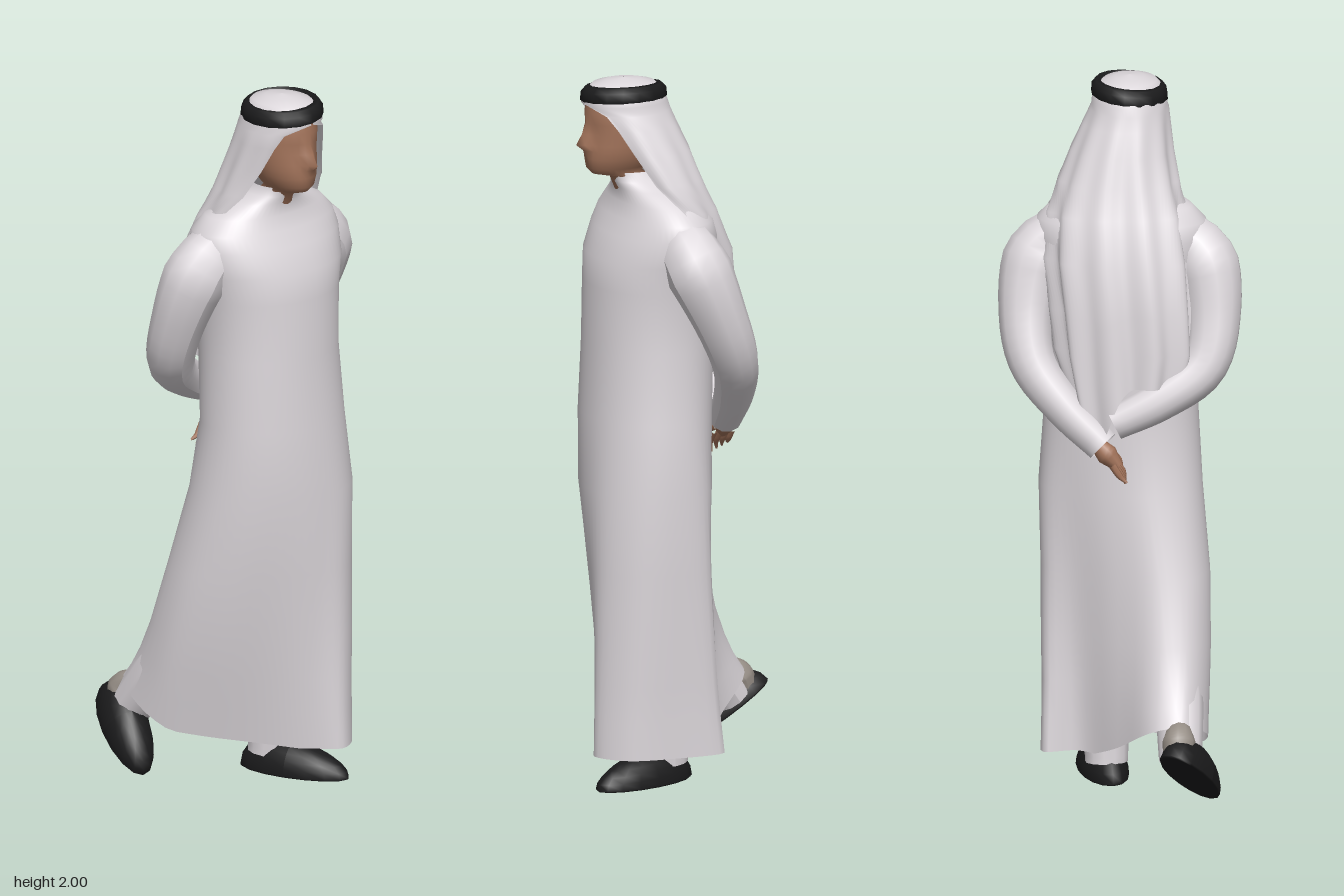
import * as THREE from 'three';
import { mergeVertices } from 'three/addons/utils/BufferGeometryUtils.js';

const mat = (name, color, side = THREE.FrontSide) => {
  const m = new THREE.MeshStandardMaterial({ color, side });
  m.name = name;
  return m;
};

// Skin stretched over rings [y, cx, cz, rx, rz, open], listed bottom to top.
// open = half angle left uncovered at the front; fold ripples the radius,
// warp moves a point in plan and tilt shifts its height.
function loft(rings, { n = 32, power = 1, fold = () => 0, tilt = () => 0, warp = (x, z) => [x, z] } = {}) {
  const pos = [], idx = [];
  const sp = (v) => Math.sign(v) * Math.abs(v) ** power;
  rings.forEach(([y, cx, cz, rx, rz, open = 0], i) => {
    const t = i / (rings.length - 1);
    for (let j = 0; j <= n; j++) {
      const a = open + (j % n === 0 && open === 0 ? 0 : (j / n) * (2 * Math.PI - 2 * open));
      const k = 1 + fold(a, t);
      const [x, z] = warp(cx + sp(Math.sin(a)) * rx * k, cz + sp(Math.cos(a)) * rz * k, y, a);
      pos.push(x, y + tilt(x, z, t), z);
      if (i < rings.length - 1 && j < n) {
        const p = i * (n + 1) + j, q = p + n + 1;
        idx.push(p, p + 1, q, p + 1, q + 1, q);
      }
    }
  });
  let g = new THREE.BufferGeometry();
  g.setAttribute('position', new THREE.Float32BufferAttribute(pos, 3));
  g.setIndex(idx);
  g = mergeVertices(g, 1e-5);
  g.computeVertexNormals();
  return g;
}

// Tube along a smooth path whose radius follows a list
function sweep(points, radii, segs = 20, n = 12) {
  const curve = new THREE.CatmullRomCurve3(points.map((p) => new THREE.Vector3(...p)));
  const g = new THREE.TubeGeometry(curve, segs, 1, n);
  const p = g.attributes.position, v = new THREE.Vector3();
  for (let i = 0; i <= segs; i++) {
    const c = curve.getPointAt(i / segs), f = (i / segs) * (radii.length - 1);
    const k = Math.min(Math.floor(f), radii.length - 2);
    const r = THREE.MathUtils.lerp(radii[k], radii[k + 1], f - k);
    for (let j = 0; j <= n; j++) {
      const m = i * (n + 1) + j;
      v.fromBufferAttribute(p, m).sub(c).multiplyScalar(r).add(c);
      p.setXYZ(m, v.x, v.y, v.z);
    }
  }
  g.computeVertexNormals();
  return g;
}

// Shoe with flat sole, toe towards +z
function shoeGeometry(half) {
  const g = new THREE.SphereGeometry(1, 16, 12), p = g.attributes.position;
  for (let i = 0; i < p.count; i++) {
    const x = p.getX(i), y = p.getY(i), z = p.getZ(i);
    const height = THREE.MathUtils.lerp(0.105, 0.065, (z + 1) / 2);
    p.setXYZ(i, x * (0.068 - 0.004 * z), Math.max(y, -0.05) * height + 0.005, z * half);
  }
  g.computeVertexNormals();
  return g;
}

export function createModel() {
  const root = new THREE.Group();
  root.name = 'robedMan';
  const cloth = mat('white cloth', 0xdcd7db, THREE.DoubleSide);
  const skin = mat('skin', 0xa2735a);
  const black = mat('black leather', 0x1b1b1c);
  const sock = mat('taupe sock', 0x968e86, THREE.DoubleSide);
  const add = (name, geometry, material, parent = root) => {
    const m = new THREE.Mesh(geometry, material);
    m.name = name;
    parent.add(m);
    return m;
  };

  // Hem outline in plan, stretched diagonally from the front foot to the trailing foot
  const hem = new THREE.CatmullRomCurve3([
    [0.02, 0.265], [0.09, 0.33], [0.18, 0.27], [0.21, 0.14], [0.205, -0.015], [0.11, 0.01],
    [-0.01, -0.1], [-0.13, -0.235], [-0.215, -0.235], [-0.262, -0.09], [-0.19, 0.05], [-0.08, 0.16],
  ].map(([x, z]) => new THREE.Vector3(x, 0, z)), true);

  // Long robe: an oval body that turns into the hem outline below the waist
  add('robe', loft([
    [0.1, -0.01, 0.16, 0.225, 0.17], [0.2, -0.015, 0.16, 0.235, 0.17], [0.3, -0.015, 0.158, 0.24, 0.172],
    [0.42, -0.01, 0.155, 0.245, 0.175], [0.62, -0.005, 0.15, 0.24, 0.18],
    [0.85, 0.01, 0.145, 0.228, 0.185], [1.05, 0.005, 0.135, 0.215, 0.175],
    [1.25, 0, 0.125, 0.205, 0.175], [1.42, 0, 0.12, 0.213, 0.175],
    [1.5, 0, 0.114, 0.235, 0.172], [1.57, 0, 0.104, 0.245, 0.15], [1.615, 0, 0.1, 0.235, 0.132],
    [1.655, 0, 0.105, 0.195, 0.11], [1.69, -0.005, 0.125, 0.125, 0.09],
    [1.71, -0.01, 0.148, 0.07, 0.077], [1.738, -0.012, 0.163, 0.058, 0.069],
  ], {
    n: 60, power: 0.95,
    warp: (x, z, y, a) => {
      const w = THREE.MathUtils.clamp((1 - y) / 0.9, 0, 1) ** 1.12;
      const h = hem.getPoint(a / (2 * Math.PI));
      return [THREE.MathUtils.lerp(x, h.x, w), THREE.MathUtils.lerp(z, h.z, w)];
    },
    tilt: (x, z, t) => (0.5 * Math.max(0, -z - 0.02) + 0.18 * Math.max(0, -x)) * Math.max(0, 1 - t * 4),
  }), cloth);

  // Sleeves, both arms folded behind the back
  add('leftSleeve', sweep([
    [0.13, 1.585, 0.1], [0.222, 1.52, 0.09], [0.257, 1.38, 0.035],
    [0.236, 1.23, -0.03], [0.14, 1.11, -0.075], [0.03, 1.01, -0.1],
  ], [0.07, 0.094, 0.077, 0.066, 0.056, 0.048], 24, 12), cloth);
  add('rightSleeve', sweep([
    [-0.13, 1.585, 0.1], [-0.222, 1.52, 0.09], [-0.262, 1.36, 0.04],
    [-0.24, 1.225, -0.015], [-0.13, 1.14, -0.07], [0.0, 1.075, -0.1],
  ], [0.07, 0.094, 0.077, 0.066, 0.056, 0.046], 24, 12), cloth);

  // Hands
  const hands = new THREE.Group();
  hands.name = 'hands';
  root.add(hands);
  add('leftPalm', sweep([[0.05, 1.02, -0.1], [0.015, 0.985, -0.105], [-0.015, 0.955, -0.11]],
    [0.02, 0.03, 0.015], 8, 10), skin, hands);
  for (let i = 0; i < 4; i++) {
    const z = -0.08 - i * 0.018;
    add('leftFinger', sweep([[0, 0.965, z], [-0.025, 0.93, z], [-0.03 - 0.004 * i, 0.9 + 0.006 * i, z - 0.006]],
      [0.011, 0.01, 0.003], 6, 6), skin, hands);
  }
  add('leftThumb', sweep([[0.02, 0.985, -0.075], [-0.01, 0.965, -0.06], [-0.02, 0.94, -0.06]],
    [0.011, 0.01, 0.003], 6, 6), skin, hands);

  // Head with a square jaw, nose drawn forward from the face
  add('head', loft([
    [1.67, -0.012, 0.16, 0.045, 0.05], [1.725, -0.012, 0.18, 0.05, 0.052],
    [1.735, -0.014, 0.212, 0.046, 0.074], [1.752, -0.014, 0.212, 0.061, 0.09],
    [1.78, -0.014, 0.208, 0.073, 0.098], [1.803, -0.014, 0.206, 0.078, 0.099],
    [1.82, -0.014, 0.204, 0.08, 0.1], [1.85, -0.014, 0.2, 0.083, 0.1], [1.88, -0.013, 0.197, 0.084, 0.104],
    [1.91, -0.013, 0.195, 0.083, 0.11], [1.95, -0.012, 0.192, 0.076, 0.105],
  ], {
    n: 32,
    warp: (x, z, y) => {
      const bridge = y > 1.82 ? (1.89 - y) / 0.07 : (y - 1.795) / 0.025;
      const nose = THREE.MathUtils.clamp(bridge, 0, 1) * Math.max(0, 1 - Math.abs(x + 0.014) / 0.028);
      return [x, z > 0.22 ? z + 0.032 * nose : z];
    },
  }), skin);

  // Headcloth falling from the crown down the back, with one longer tail
  add('headcloth', loft([
    [1.18, -0.03, 0.0, 0.175, 0.125, 1.8], [1.27, -0.025, 0.0, 0.2, 0.118, 1.75],
    [1.38, -0.015, 0.01, 0.205, 0.118, 1.7], [1.52, 0, 0.035, 0.21, 0.125, 1.6],
    [1.64, 0.01, 0.08, 0.195, 0.122, 1.4], [1.72, 0.01, 0.115, 0.167, 0.125, 1.1],
    [1.8, 0.004, 0.145, 0.143, 0.13, 0.98], [1.87, -0.006, 0.172, 0.122, 0.128, 0.88],
    [1.91, -0.012, 0.185, 0.11, 0.126, 0.74], [1.935, -0.012, 0.19, 0.104, 0.123, 0.04],
    [1.965, -0.012, 0.192, 0.095, 0.112], [1.985, -0.012, 0.192, 0.075, 0.09],
    [1.995, -0.012, 0.192, 0.04, 0.05], [2, -0.012, 0.192, 0.001, 0.001],
  ], {
    n: 64,
    fold: (a, t) => Math.max(0, 0.65 - t) * (0.12 * Math.sin(11 * a) + 0.08 * Math.sin(5 * a + 1)),
    tilt: (x, z, t) => -0.16 * Math.exp(-(((x - 0.04) / 0.05) ** 2)) * Math.max(0, 1 - t * 5),
  }), cloth);

  // Head cord, sitting a little lower on the right
  add('headCord', loft([
    [1.938, -0.012, 0.192, 0.098, 0.115], [1.943, -0.012, 0.192, 0.107, 0.124],
    [1.968, -0.012, 0.192, 0.105, 0.121], [1.981, -0.012, 0.192, 0.095, 0.109],
    [1.984, -0.012, 0.192, 0.084, 0.096], [1.965, -0.012, 0.192, 0.076, 0.088],
  ], { n: 16, tilt: (x) => 0.09 * x }), black);

  // Trousers, sock and shoes
  add('leftTrouser', sweep([[0.06, 0.42, 0.12], [0.045, 0.22, 0.1], [0.04, 0.05, 0.085]], [0.07, 0.065, 0.06]), cloth);
  add('rightTrouser', sweep([[-0.13, 0.5, 0.0], [-0.18, 0.31, -0.11], [-0.2, 0.15, -0.225]], [0.07, 0.07, 0.06]), cloth);
  add('rightSock', sweep([[-0.195, 0.235, -0.205], [-0.197, 0.215, -0.24], [-0.2, 0.16, -0.265]], [0.03, 0.046, 0.043]), sock);
  const leftShoe = add('leftShoe', shoeGeometry(0.17), black);
  leftShoe.position.set(0.062, 0, 0.166);
  leftShoe.rotation.y = 0.3;
  const rightShoe = add('rightShoe', shoeGeometry(0.158), black);
  rightShoe.position.set(-0.225, 0.094, -0.215);
  rightShoe.rotation.set(0.64, -0.36, 0, 'YXZ');
  return root;
}
